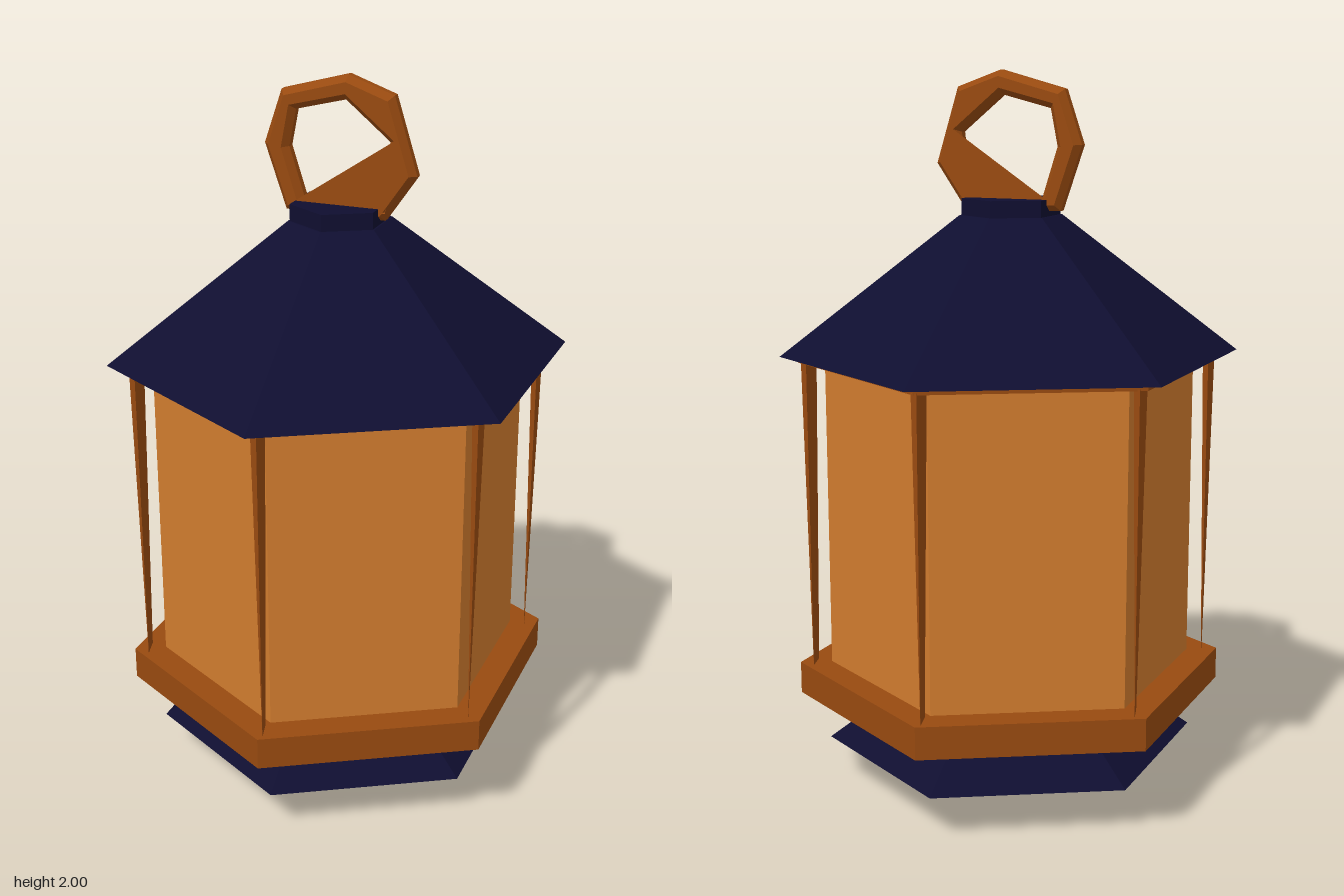
import * as THREE from 'three';
import { ConvexGeometry } from 'three/addons/geometries/ConvexGeometry.js';

const flat = (name, color) => {
  const m = new THREE.MeshStandardMaterial({ color, flatShading: true });
  m.name = name;
  return m;
};

export function createModel() {
  const group = new THREE.Group();
  group.name = 'lantern';
  const navy = flat('navy metal', 0x0f0e30);
  const brown = flat('brown wood', 0x984a10);
  const amber = flat('amber glass', 0xd17c2e);

  const add = (name, geometry, material) => {
    const mesh = new THREE.Mesh(geometry, material);
    mesh.name = name;
    group.add(mesh);
    return mesh;
  };
  // Six-sided frustum between two heights, with corners on the z axis
  const hex = (name, rBottom, rTop, y0, y1, material) => {
    const g = new THREE.CylinderGeometry(rTop, rBottom, y1 - y0, 6);
    g.translate(0, (y0 + y1) / 2, 0);
    return add(name, g, material);
  };

  hex('lowerSkirt', 0.52, 0.32, 0.127, 0.27, navy);
  hex('baseTray', 0.6, 0.6, 0.265, 0.355, brown);
  hex('glassBody', 0.512, 0.512, 0.35, 1.222, amber);
  hex('upperFrame', 0.585, 0.585, 1.217, 1.232, brown);
  hex('roof', 0.635, 0.14, 1.234, 1.615, navy);
  hex('roofCap', 0.135, 0.135, 1.605, 1.66, navy);

  // Corner posts: a flat plank at the top, narrowing to a diagonal blade below
  const hx = 0.008, hz = 0.028, top = 1.222, foot = 0.35;
  const post = new ConvexGeometry([
    [hx, top, hz], [hx, top, -hz], [-hx, top, hz], [-hx, top, -hz],
    [hx, foot, hz], [-hx, foot, -hz],
  ].map((p) => new THREE.Vector3(...p)));
  for (let i = 0; i < 6; i++) {
    const a = (i * Math.PI) / 3;
    add('cornerPost' + (i + 1), post, brown)
      .position.set(Math.sin(a) * 0.556, 0, Math.cos(a) * 0.556);
  }

  // Faceted drop under the base
  const drop = [[0, 0], [0.022, 0.002], [0.063, 0.068], [0.025, 0.13], [0, 0.13]];
  add('finial', new THREE.LatheGeometry(drop.map((p) => new THREE.Vector2(...p)), 4), brown);

  // Rough-hewn hanging ring with chamfered edges
  const points = (list) => list.map((p) => new THREE.Vector2(...p));
  const outline = new THREE.Shape(points([
    [0.026, 2], [-0.16, 1.95], [-0.21, 1.805], [-0.15, 1.63],
    [0.13, 1.625], [0.217, 1.75], [0.153, 1.955],
  ]));
  outline.holes.push(new THREE.Path(points([
    [0.02, 1.935], [0.142, 1.835], [0.122, 1.665],
    [-0.097, 1.665], [-0.14, 1.8], [-0.12, 1.9],
  ])));
  const ring = new THREE.ExtrudeGeometry(outline, {
    depth: 0.02, bevelEnabled: true, bevelSegments: 1,
    bevelThickness: 0.02, bevelSize: 0.016, bevelOffset: -0.016,
  });
  ring.translate(0, 0, -0.01);
  add('hangingRing', ring, brown);

  return group;
}
